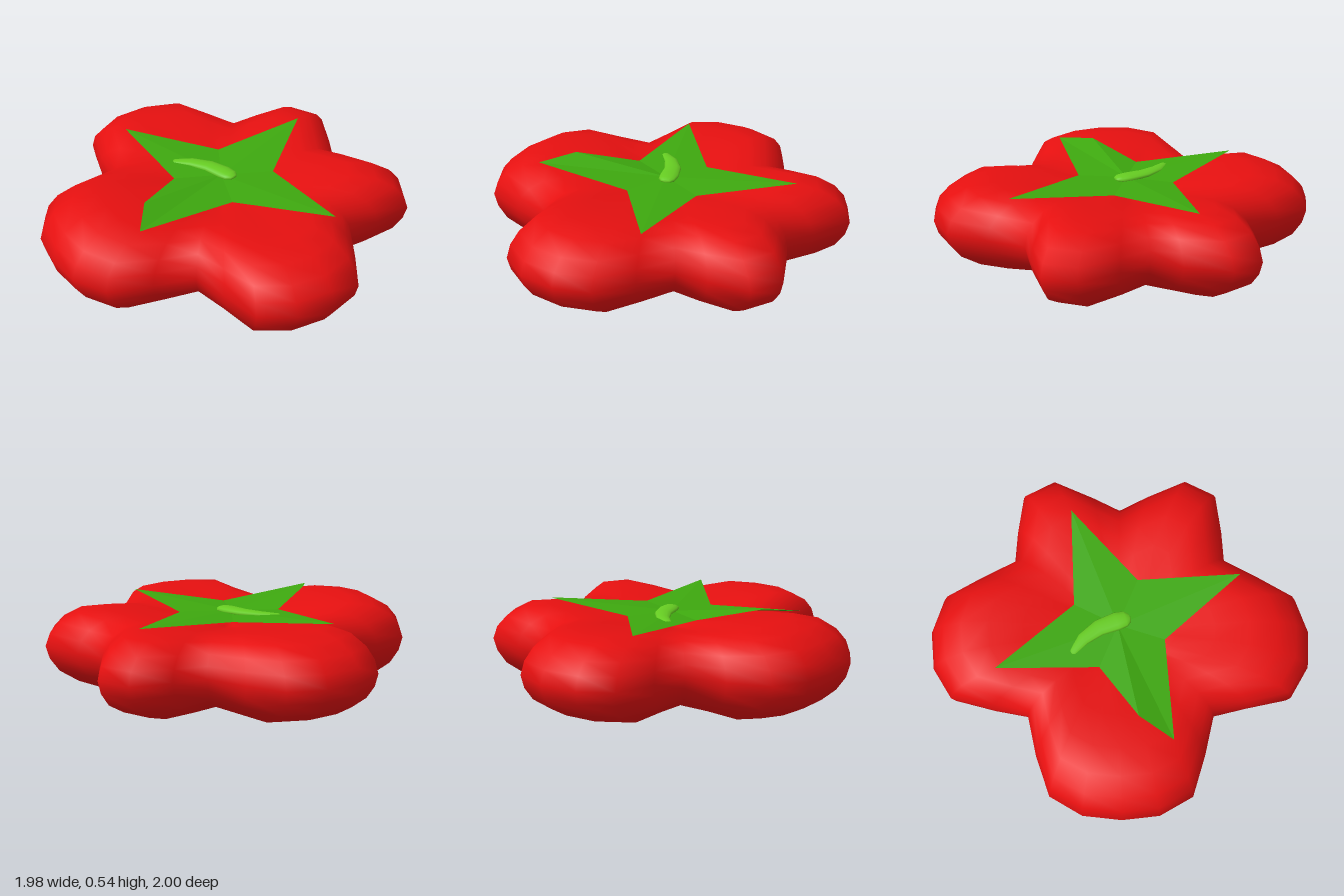
import * as THREE from 'three';
import { mergeVertices } from 'three/addons/utils/BufferGeometryUtils.js';

// Smooth skin over a list of closed rings of equal length
function loft(rings) {
  const n = rings[0].length, pos = [], idx = [];
  rings.forEach(r => r.forEach(p => pos.push(...p)));
  for (let i = 0; i < rings.length - 1; i++) {
    for (let k = 0; k < n; k++) {
      const a = i * n + k, b = i * n + (k + 1) % n;
      idx.push(a, b, a + n, b, b + n, a + n);
    }
  }
  let g = new THREE.BufferGeometry();
  g.setAttribute('position', new THREE.Float32BufferAttribute(pos, 3));
  g.setIndex(idx);
  g = mergeVertices(g, 1e-4);
  g.computeVertexNormals();
  return g;
}

function named(name, geometry, material) {
  const m = new THREE.Mesh(geometry, material);
  m.name = name;
  return m;
}

// Five uneven lobes: outline in x, z, clockwise from above
const outline = [
  [-0.17, -0.98], [0.02, -1.0], [0.19, -0.82], [0.30, -0.69], [0.48, -0.705], [0.72, -0.71],
  [0.84, -0.565], [0.78, -0.35], [0.72, -0.18], [0.85, -0.01], [0.985, 0.18], [0.97, 0.38],
  [0.88, 0.56], [0.72, 0.68], [0.5, 0.64], [0.30, 0.61], [0.17, 0.79], [0.02, 0.97],
  [-0.18, 0.995], [-0.37, 0.94], [-0.55, 0.84], [-0.67, 0.68], [-0.655, 0.45], [-0.615, 0.23],
  [-0.78, 0.12], [-0.96, -0.02], [-0.99, -0.21], [-0.93, -0.41], [-0.80, -0.565],
  [-0.58, -0.60], [-0.36, -0.625], [-0.28, -0.79],
];

// Fraction of the outline radius and height, top centre to bottom centre
const profile = [
  [0, 0.42], [0.15, 0.432], [0.3, 0.455], [0.5, 0.48], [0.68, 0.498], [0.82, 0.482],
  [0.92, 0.43], [0.975, 0.37], [1, 0.3], [0.98, 0.23], [0.93, 0.16], [0.83, 0.1],
  [0.68, 0.05], [0.45, 0.025], [0.2, 0.04], [0, 0.07],
];

function fruitGeometry() {
  const mid = 0.27, bigLobe = Math.atan2(0.92, -0.4);
  return loft(profile.map(([f, y]) => outline.map(([x, z]) => {
    // Valleys are flatter, the front lobe is the fullest
    const valley = 0.85 + 0.15 * THREE.MathUtils.smoothstep(Math.hypot(x, z), 0.68, 1);
    let d = Math.atan2(z, x) - bigLobe;
    d = Math.atan2(Math.sin(d), Math.cos(d));
    const swell = 0.1 * Math.exp(-((d / 0.35) ** 2));
    const k = f === 0 ? 1 : valley + swell;
    return [x * f, mid + (y - mid) * k, z * f];
  })));
}

// Four-pointed leaf, a fan around its centre
function leafGeometry() {
  const rim = [
    [0.02, 0.505, -0.71], [0.2, 0.475, -0.2], [0.72, 0.5, -0.01], [0.2, 0.475, 0.17],
    [0.02, 0.515, 0.7], [-0.1, 0.54, 0.52], [-0.18, 0.478, 0.18], [-0.69, 0.51, -0.015],
    [-0.17, 0.475, -0.2],
  ];
  const pos = [];
  rim.forEach((p, i) => pos.push(0, 0.478, 0, ...rim[(i + 1) % rim.length], ...p));
  const g = new THREE.BufferGeometry();
  g.setAttribute('position', new THREE.Float32BufferAttribute(pos, 3));
  g.computeVertexNormals();
  return g;
}

// Curved, flattened stem lying on the leaf: x, z, half width
function stemGeometry() {
  const path = [
    [-0.295, 0.065, 0], [-0.28, 0.052, 0.02], [-0.2, 0.005, 0.036], [-0.1, -0.022, 0.046],
    [0, -0.02, 0.052], [0.05, -0.015, 0.045], [0.073, -0.012, 0.025], [0.08, -0.012, 0],
  ];
  return loft(path.map(([x, z, r], i) => {
    const a = path[Math.max(i - 1, 0)], b = path[Math.min(i + 1, path.length - 1)];
    const dir = new THREE.Vector2(b[0] - a[0], b[1] - a[1]).normalize();
    return Array.from({ length: 12 }, (_, k) => {
      const t = k / 12 * Math.PI * 2, side = Math.sin(t) * r;
      return [x - dir.y * side, 0.484 + Math.cos(t) * r * 0.4, z + dir.x * side];
    });
  }));
}

export function createModel() {
  const red = new THREE.MeshStandardMaterial({ color: 0xe61010 });
  red.name = 'fruitRed';
  const green = new THREE.MeshStandardMaterial({ color: 0x3ea80f, side: THREE.DoubleSide });
  green.name = 'leafGreen';
  const light = new THREE.MeshStandardMaterial({ color: 0x66cc22 });
  light.name = 'stemGreen';

  const group = new THREE.Group();
  group.name = 'tomato';
  group.add(
    named('fruit', fruitGeometry(), red),
    named('leaf', leafGeometry(), green),
    named('stem', stemGeometry(), light),
  );
  return group;
}
